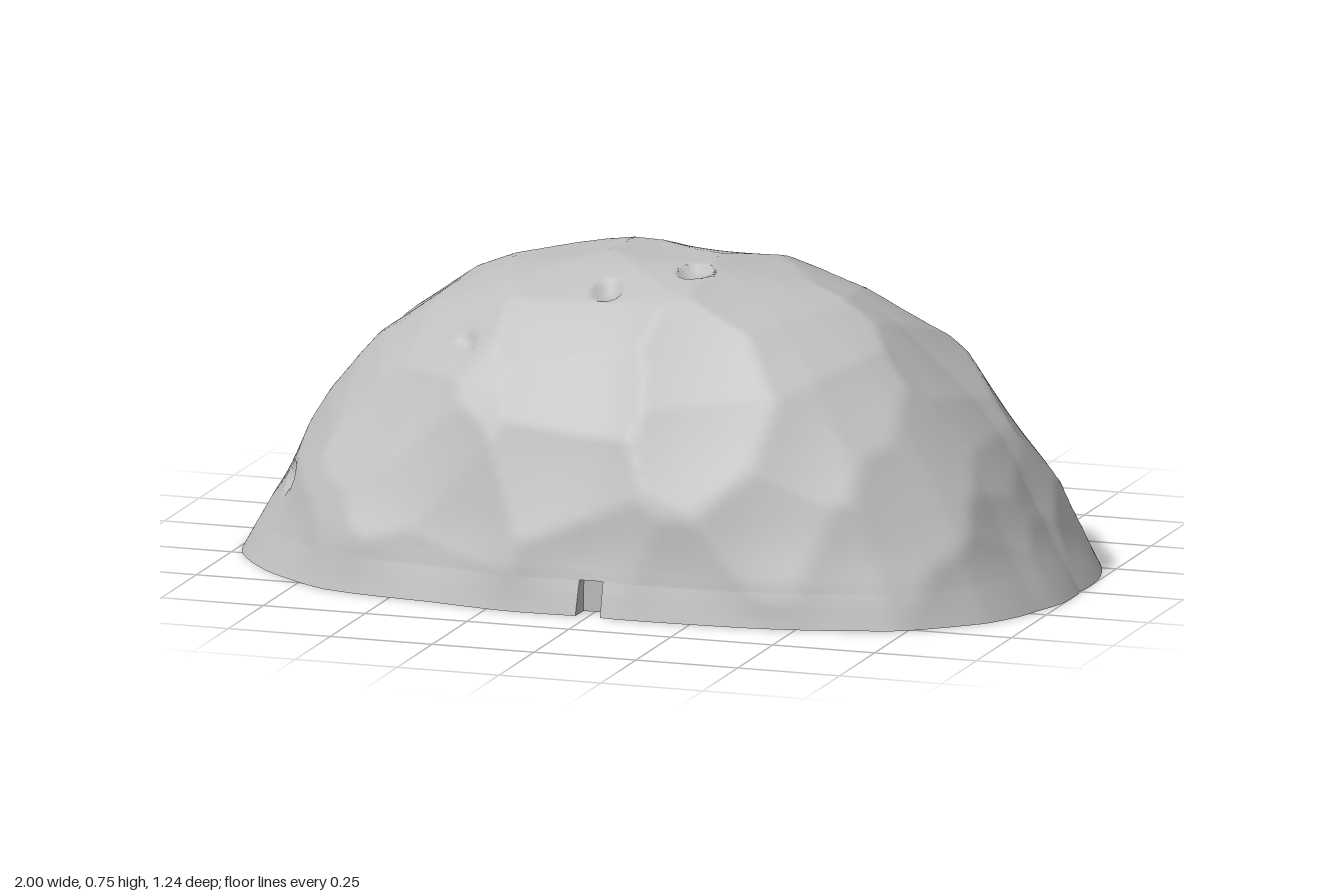
import * as THREE from 'three';
import { toCreasedNormals } from 'three/addons/utils/BufferGeometryUtils.js';

const H = 0.755, DEPTH = 0.62, CEILING = 0.47, FRONT_WALL = 0.46;
const NOTCH_ANGLE = 0.03, NOTCH_TOP = 0.08;

// Seeded random numbers in 0..1
let seed = 7;
const rand = () => (seed = (seed * 16807) % 2147483647) / 2147483647;

// Irregular footprint on the ground, as [x, z]
const footprint = [
  [0.995, 0], [0.97, 0.22], [0.9, 0.38], [0.72, 0.52], [0.4, 0.6], [0, 0.615], [-0.4, 0.59],
  [-0.67, 0.54], [-0.85, 0.42], [-0.97, 0.25], [-0.995, 0], [-0.97, -0.2], [-0.9, -0.38], [-0.84, -0.44],
  [-0.68, -0.53], [-0.45, -0.575], [-0.22, -0.617], [0.1, -0.608], [0.4, -0.597], [0.7, -0.515], [0.93, -0.31],
].map(([x, z]) => {
  const a = Math.atan2(z / DEPTH, x);
  return { a: a < 0 ? a + Math.PI * 2 : a, r: Math.hypot(x, z / DEPTH) };
});

function footprintRadius(angle) {
  const n = footprint.length;
  for (let i = 0; i < n; i++) {
    const p = footprint[i], q = footprint[(i + 1) % n];
    const end = i === n - 1 ? Math.PI * 2 : q.a;
    if (angle >= p.a && angle <= end) {
      return THREE.MathUtils.lerp(p.r, q.r, (angle - p.a) / (end - p.a));
    }
  }
  return 1;
}

// Scoop centres spread over the dome, and a few small pits
const scoops = [];
for (let i = 0; i < 80; i++) {
  const y = (i + rand()) / 80, a = i * 2.39996 + rand() * 0.6, r = Math.sqrt(1 - y * y);
  scoops.push(new THREE.Vector3(r * Math.cos(a), y * H, r * Math.sin(a) * 0.6));
}
const pits = [[0.11, 0.74, 0.17], [-0.08, 0.71, 0.25], [-0.4, 0.58, 0.36], [-0.87, 0.2, 0.27]]
  .map((p) => new THREE.Vector3(...p));

// Carve scalloped scoops and pits into a point of the dome
function carve(p) {
  let near = 1;
  for (const s of scoops) near = Math.min(near, p.distanceTo(s));
  let d = 0.012 - 0.022 * (1 - Math.min(1.2, (near / 0.18) ** 2));
  for (const s of pits) {
    const q = p.distanceTo(s) / 0.045;
    if (q < 1) d -= 0.024 * (1 - q * q);
  }
  const rise = THREE.MathUtils.smoothstep(p.y, 0, 0.15);
  const dir = new THREE.Vector3(p.x, p.y / 0.6, p.z / 0.4).normalize();
  dir.y *= rise;
  return p.addScaledVector(dir, d * (0.3 + 0.7 * rise));
}

// Angles around the shell, with exact columns at the sides of the notch
const angles = [];
for (let i = 0; i < 240; i++) {
  const a = (i / 240) * Math.PI * 2;
  if (Math.abs(a - Math.PI / 2) > NOTCH_ANGLE + 0.006) angles.push(a);
}
for (const o of [-NOTCH_ANGLE - 0.0005, -NOTCH_ANGLE, 0, NOTCH_ANGLE, NOTCH_ANGLE + 0.0005]) {
  angles.push(Math.PI / 2 + o);
}
angles.sort((a, b) => a - b);

// Join closed rings of points into a surface
function loft(rings) {
  const n = angles.length, index = [];
  for (let i = 0; i < rings.length - 1; i++) {
    for (let j = 0; j < n; j++) {
      const k = (j + 1) % n;
      const a = i * n + j, b = i * n + k, c = a + n, d = b + n;
      index.push(a, b, c, b, d, c);
    }
  }
  const geometry = new THREE.BufferGeometry().setFromPoints(rings.flat());
  geometry.setIndex(index);
  return toCreasedNormals(geometry, 0.7);
}

// One ring of the rocky outside; profile = (half width, height, half depth)
function outerRing(profile) {
  const { x: sx, y, z: sz } = profile;
  return angles.map((a) => {
    const r = 1 + (footprintRadius(a) - 1) * (1 - 0.4 * y / H);
    const p = carve(new THREE.Vector3(
      Math.cos(a) * r * sx, y, Math.sin(a) * r * sz + 0.04 * (y / H) ** 1.5));
    if (Math.abs(a - Math.PI / 2) <= NOTCH_ANGLE + 1e-6 && y < NOTCH_TOP) p.z = 0.56;
    return p;
  });
}

// One ring of the cavity: bowl with a flat front wall that widens into a low pocket
function innerRing(y) {
  const fx = Math.sqrt(1 - (y / 0.72) ** 2), fz = Math.sqrt(1 - (y / 0.635) ** 2), n = 2.3;
  return angles.map((a) => {
    const c = Math.cos(a), s = Math.sin(a);
    const k = (Math.abs(c) ** n + Math.abs(s) ** n) ** (-1 / n);
    const x = 0.9 * c * k * fx;
    let z = Math.min((s > 0 ? 0.55 : 0.52) * s * k * fz, FRONT_WALL);
    if (y < 0.15 && Math.abs(x) < 0.67 && z > 0.15) z = FRONT_WALL;
    return new THREE.Vector3(x, y, z);
  });
}

export function createModel() {
  const group = new THREE.Group();
  group.name = 'hollowRock';
  const stone = new THREE.MeshStandardMaterial({ color: 0xbebebe });
  stone.name = 'greyStone';
  const add = (name, rings) => {
    const mesh = new THREE.Mesh(loft(rings), stone);
    mesh.name = name;
    group.add(mesh);
  };

  // Dome outline from the crown to the ground
  const curve = new THREE.CatmullRomCurve3([
    [0, H - 0.003, 0], [0.18, 0.746, 0.09], [0.35, 0.715, 0.18], [0.5, 0.654, 0.275], [0.61, 0.58, 0.35],
    [0.745, 0.45, 0.447], [0.85, 0.3, 0.527], [0.925, 0.15, 0.58], [1, 0, DEPTH],
  ].map((p) => new THREE.Vector3(...p)));
  const profile = curve.getSpacedPoints(85).filter((p) => Math.abs(p.y - NOTCH_TOP) > 0.006);
  for (const y of [NOTCH_TOP + 0.0005, NOTCH_TOP - 0.0005]) {
    profile.push(new THREE.Vector3(1 - 0.5 * y, y, DEPTH - 0.27 * y));
  }
  profile.sort((a, b) => b.y - a.y);
  const outside = profile.map(outerRing);
  add('rockSurface', outside);

  // Cavity walls up to the flat ceiling
  const heights = [0, 0.07, 0.1495, 0.1505];
  for (let i = 1; i <= 16; i++) heights.push(0.15 + ((CEILING - 0.15) * i) / 16);
  const inside = heights.map(innerRing);
  add('bottomRim', [outside[outside.length - 1], inside[0]]);
  add('cavityWall', inside);
  add('cavityCeiling', [inside[inside.length - 1], angles.map(() => new THREE.Vector3(0, CEILING, 0))]);

  return group;
}
